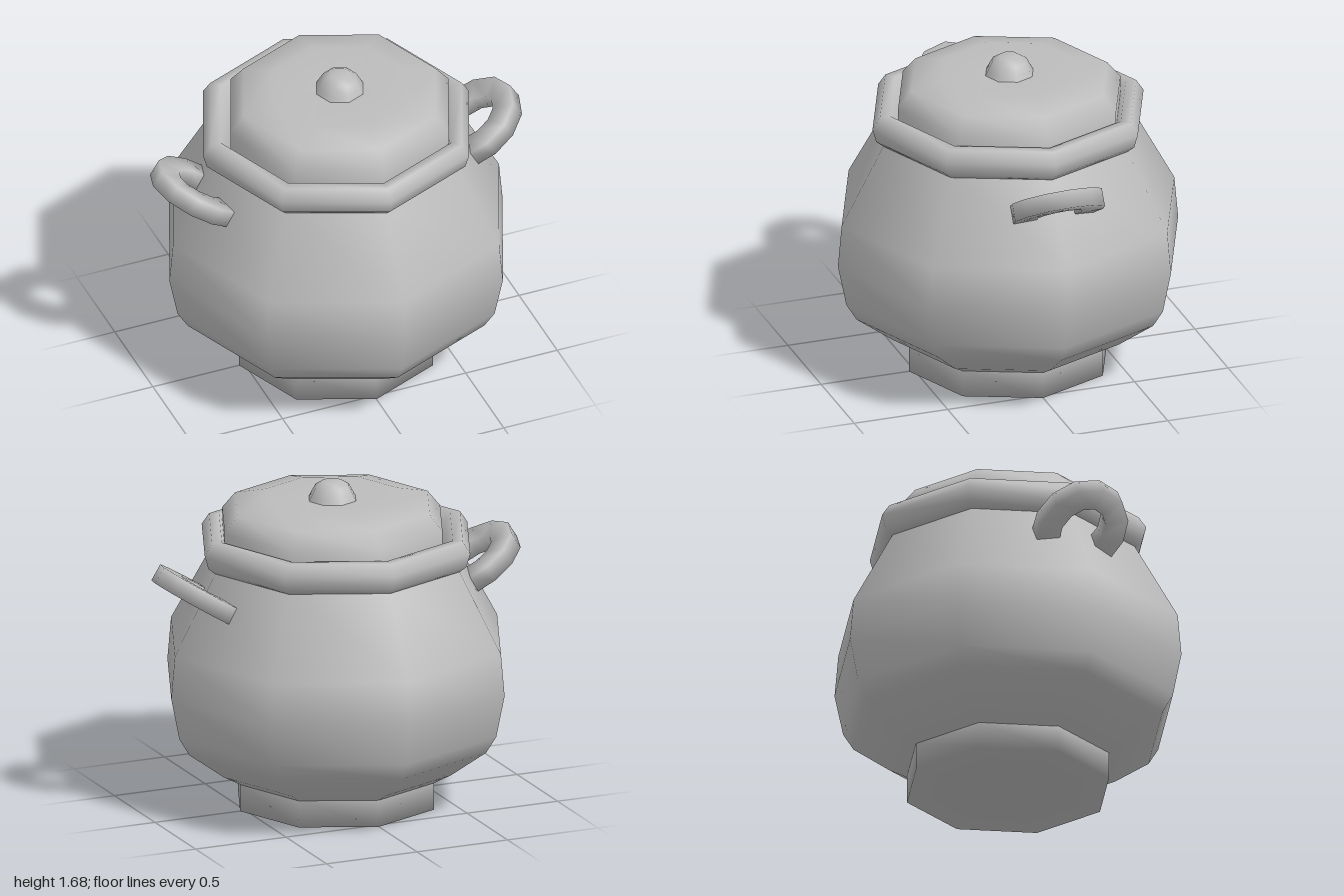
import * as THREE from 'three';

const grey = new THREE.MeshStandardMaterial({ color: 0xbcbcbc, side: THREE.DoubleSide });
grey.name = 'plain grey';

// Eight-sided turned part with smooth normals, profile listed from bottom to top
function turned(name, profile, x = 0) {
  const points = profile.map(([r, y]) => new THREE.Vector2(r, y));
  const mesh = new THREE.Mesh(new THREE.LatheGeometry(points, 8), grey);
  mesh.name = name;
  mesh.position.x = x;
  return mesh;
}

// Square-section bar swept along a loop lying in the local XZ plane
function handleGeometry() {
  const half = [[0.005, 0.155], [0.1, 0.175], [0.2, 0.152], [0.275, 0.09], [0.305, 0]];
  const path = [...half, ...half.slice(0, -1).reverse().map(([u, z]) => [u, -z])];
  const wide = 0.06, thick = 0.046;
  const positions = [], index = [];
  path.forEach(([u, z], i) => {
    const a = path[Math.max(i - 1, 0)], b = path[Math.min(i + 1, path.length - 1)];
    const length = Math.hypot(b[0] - a[0], b[1] - a[1]);
    const nx = -(b[1] - a[1]) / length, nz = (b[0] - a[0]) / length; // outward in the plane
    for (const [s, t] of [[1, -1], [1, 1], [-1, 1], [-1, -1]]) {
      positions.push(u + nx * s * wide, t * thick, z + nz * s * wide);
    }
    if (i === 0) return;
    for (let k = 0; k < 4; k++) {
      const p = (i - 1) * 4 + k, q = (i - 1) * 4 + (k + 1) % 4;
      index.push(p, q, p + 4, q, q + 4, p + 4);
    }
  });
  // End caps
  const e = (path.length - 1) * 4;
  index.push(0, 2, 1, 0, 3, 2, e, e + 1, e + 2, e, e + 2, e + 3);
  const geometry = new THREE.BufferGeometry();
  geometry.setAttribute('position', new THREE.Float32BufferAttribute(positions, 3));
  geometry.setIndex(index);
  geometry.computeVertexNormals();
  return geometry;
}

export function createModel() {
  const pot = new THREE.Group();
  pot.name = 'lidded pot';

  pot.add(turned('foot', [[0, 0], [0.53, 0], [0.53, 0.145]]));
  pot.add(turned('body', [
    [0.53, 0.14], [0.62, 0.19], [0.81, 0.33], [0.865, 0.42],
    [0.91, 0.64], [0.89, 0.86], [0.66, 1.28],
  ]));
  pot.add(turned('rim', [
    [0.58, 1.27], [0.67, 1.27], [0.705, 1.3], [0.725, 1.37],
    [0.685, 1.43], [0.63, 1.43], [0.585, 1.37], [0.57, 1.34],
  ]));

  // Lid and knob sit slightly off centre
  pot.add(turned('lid', [
    [0.595, 1.35], [0.595, 1.475], [0.525, 1.56], [0.36, 1.597], [0.12, 1.585], [0, 1.585],
  ], 0.02));
  pot.add(turned('knob', [[0.13, 1.58], [0.115, 1.61], [0.09, 1.655], [0.05, 1.68], [0, 1.68]], 0.02));

  // Tilted loop handles on both sides
  const loop = handleGeometry();
  for (const [name, turn] of [['leftHandle', 0], ['rightHandle', Math.PI]]) {
    const side = new THREE.Group();
    side.name = name;
    side.rotation.y = turn;
    const handle = new THREE.Mesh(loop, grey);
    handle.name = name + 'Loop';
    handle.position.set(0.665, 1.105, 0);
    handle.rotation.z = 0.56;
    side.add(handle);
    pot.add(side);
  }
  return pot;
}
